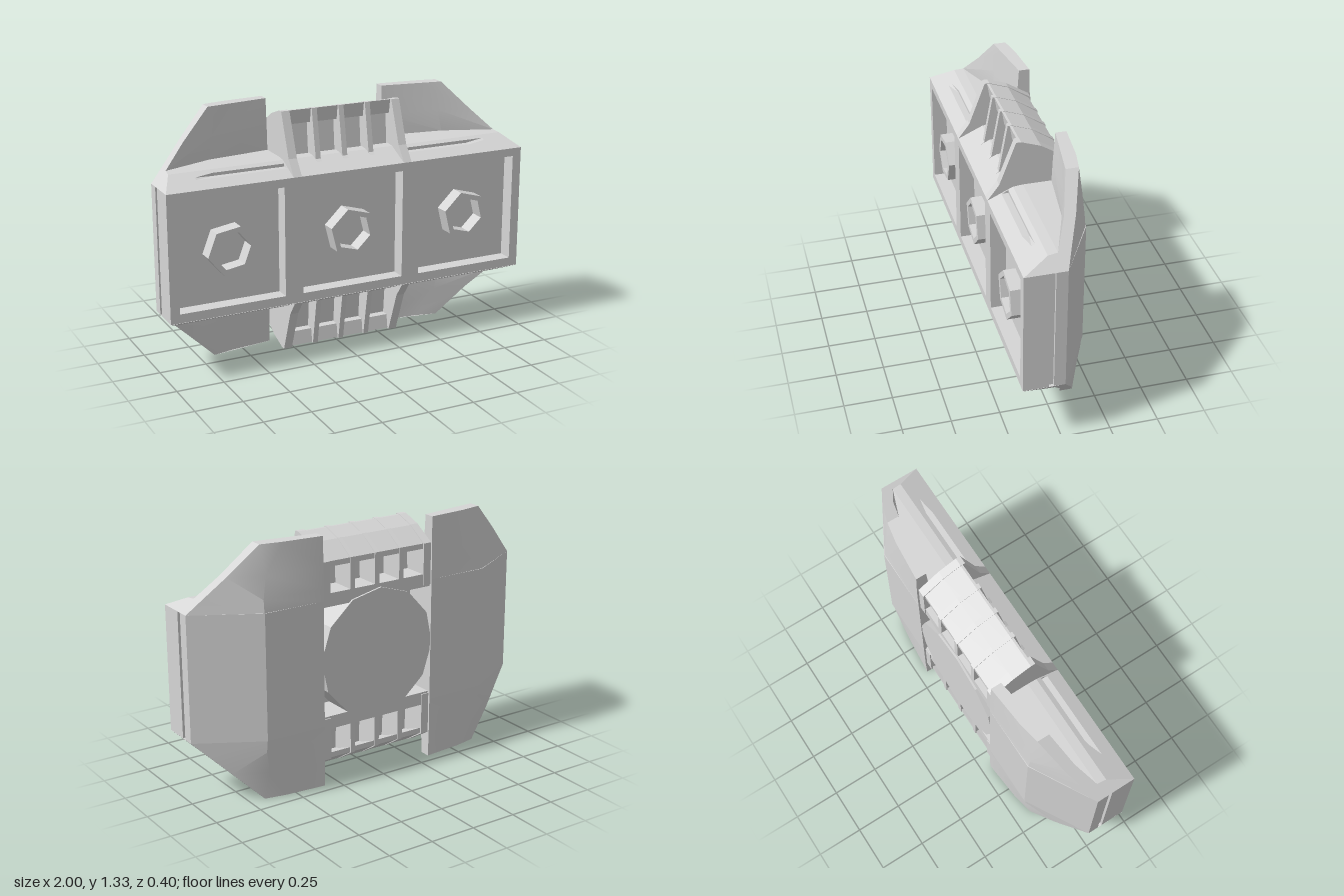
import * as THREE from 'three';
import { toCreasedNormals } from 'three/addons/utils/BufferGeometryUtils.js';

const MID = 0.6667; // height of the mirror plane between upper and lower halves

export function createModel() {
  const model = new THREE.Group();
  model.name = 'armorModule';
  const grey = new THREE.MeshStandardMaterial({ color: 0xd6d6d6 });
  grey.name = 'plain grey';

  const add = (name, geometry, parent = model) => {
    const mesh = new THREE.Mesh(geometry, grey);
    mesh.name = name;
    parent.add(mesh);
    return mesh;
  };
  const box = (name, x0, x1, y0, y1, z0, z1) =>
    add(name, new THREE.BoxGeometry(x1 - x0, y1 - y0, z1 - z0)
      .translate((x0 + x1) / 2, (y0 + y1) / 2, (z0 + z1) / 2));
  const flip = (y, s) => MID + s * (y - MID);
  const vec2 = (pts) => pts.map(([x, y]) => new THREE.Vector2(x, y));
  const extrude = (shape, depth) => new THREE.ExtrudeGeometry(shape, { depth, bevelEnabled: false });

  // Profile of [z, y] points swept along x, mirrored vertically when s = -1
  const prism = (name, profile, x0, x1, s, parent) => {
    const shape = new THREE.Shape(vec2(profile.map(([z, y]) => [-z, flip(y, s)])));
    return add(name, extrude(shape, x1 - x0).rotateY(Math.PI / 2).translate(x0, 0, 0), parent);
  };

  // Flat-shaded solid through matching cross-sections, always wound outwards
  const loft = (sections) => {
    const tris = [];
    const n = sections[0].length;
    for (let i = 0; i < sections.length - 1; i++) {
      const a = sections[i], b = sections[i + 1];
      for (let j = 0; j < n; j++) {
        const k = (j + 1) % n;
        tris.push([a[j], a[k], b[k]], [a[j], b[k], b[j]]);
      }
    }
    const first = sections[0], last = sections[sections.length - 1];
    for (let j = 1; j < n - 1; j++) {
      tris.push([first[0], first[j + 1], first[j]], [last[0], last[j], last[j + 1]]);
    }
    const v = (p) => new THREE.Vector3(...p);
    const volume = tris.reduce((sum, [a, b, c]) => sum + v(a).dot(v(b).cross(v(c))), 0);
    const ordered = volume < 0 ? tris.map(([a, b, c]) => [a, c, b]) : tris;
    const geometry = new THREE.BufferGeometry();
    geometry.setAttribute('position', new THREE.Float32BufferAttribute(ordered.flat(2), 3));
    geometry.computeVertexNormals();
    return geometry;
  };

  // Front frame with three rectangular recesses
  const rect = (x0, x1, y0, y1) => vec2([[x0, y0], [x1, y0], [x1, y1], [x0, y1]]);
  const frame = new THREE.Shape(rect(-1, 1, 0.335, 1));
  for (const x of [-0.667, 0, 0.667]) {
    frame.holes.push(new THREE.Path(rect(x - 0.284, x + 0.284, 0.382, 0.957).reverse()));
  }
  add('frontFrame', extrude(frame, 0.08).translate(0, 0, 0.12));

  // Body slabs with a narrow groove on both ends
  box('bodyFront', -1, 1, 0.335, 1, 0.07, 0.12);
  box('bodyGroove', -0.985, 0.985, 0.335, 1, 0.045, 0.07);
  box('bodyBack', -1, 1, 0.335, 1, -0.013, 0.045);

  // Hollow hexagonal nuts
  const hexagon = (r, degrees) => vec2([0, 1, 2, 3, 4, 5].map((i) => {
    const a = THREE.MathUtils.degToRad(degrees + i * 60);
    return [r * Math.cos(a), r * Math.sin(a)];
  }));
  [[-0.667, 9], [0, -16], [0.667, -16]].forEach(([x, turn]) => {
    const hex = new THREE.Shape(hexagon(0.13, turn));
    hex.holes.push(new THREE.Path(hexagon(0.1, turn).reverse()));
    add('hexNut', extrude(hex, 0.08).translate(x, MID, 0.12));
  });

  // Wing rows: height, then [x, z] of six corners around the shell
  const middleRow = [1, [1, 0.02], [0.67, 0.02], [0.333, 0.02], [0.333, -0.2], [0.67, -0.2], [1, -0.013]];
  const plateRows = [
    [1, [1, 0.02], [0.67, -0.08], [0.333, -0.125], [0.333, -0.2], [0.67, -0.196], [1, -0.013]],
    [1.065, [0.935, 0.02], [0.67, -0.08], [0.333, -0.125], [0.333, -0.2], [0.67, -0.19], [0.935, -0.043]],
    [1.18, [0.82, -0.04], [0.65, -0.09], [0.333, -0.13], [0.333, -0.2], [0.65, -0.181], [0.82, -0.098]],
    [1.333, [0.667, -0.09], [0.55, -0.115], [0.333, -0.14], [0.333, -0.196], [0.55, -0.177], [0.667, -0.155]],
  ];
  for (const side of [1, -1]) {
    const section = ([y, ...pts], s) => pts.map(([x, z]) => [side * x, flip(y, s), z]);
    const wing = new THREE.Group();
    wing.name = side > 0 ? 'leftWing' : 'rightWing';
    model.add(wing);
    add('wingMiddle', loft([section(middleRow, -1), section(middleRow, 1)]), wing);
    for (const s of [1, -1]) {
      add('wingPlate', toCreasedNormals(loft(plateRows.map((r) => section(r, s))), 0.45), wing);
    }
  }

  // Profiles of the ribbed centre blocks, as [z, y]
  const wallProfile = [[0.2, 1], [0.14, 1.08], [0.055, 1.305], [0.03, 1.305],
    [-0.07, 1.27], [-0.19, 1.195], [-0.19, 0.97], [-0.013, 0.97]];
  const ribProfile = [[0.13, 1.03], [0.098, 1.05], [0.052, 1.304], [0.03, 1.304],
    [-0.07, 1.269], [-0.185, 1.195], [-0.185, 0.99], [0, 0.99]];
  const roofProfile = [[0.042, 1.302], [0.03, 1.302], [-0.07, 1.267], [-0.18, 1.193],
    [-0.18, 1.165], [-0.07, 1.21], [0, 1.228], [0.03, 1.228]];
  const webProfile = [[-0.01, 1.24], [-0.04, 1.22], [-0.05, 1], [0.01, 1]];
  const barProfile = [[-0.01, 0.96], [-0.01, 1.03], [-0.185, 1.03], [-0.185, 0.96]];

  // Sloped edge stations from end to end: [x, notched], x = null for mitred ends
  const stations = [[0.82, 0], [0.72, 1], [0.34, 1], [0.339, 0]];
  const edgeSection = (xAt, notched, s) => [[1, 0.2], [1.0323, 0.13],
    notched ? [1.0323, 0.096] : [1.0402, 0.113],
    [1.048, 0.096], [1.06, 0.07], [1.065, 0.02], [1, -0.013],
  ].map(([y, z]) => [xAt(y), flip(y, s), z]);

  for (const s of [1, -1]) {
    const half = new THREE.Group();
    half.name = s > 0 ? 'upperHalf' : 'lowerHalf';
    model.add(half);

    // Sloped edge with a slender notch cut on each side
    add('slopedEdge', loft([
      edgeSection((y) => y - 2, 0, s),
      ...stations.map(([x, cut]) => edgeSection(() => -x, cut, s)),
      ...[...stations].reverse().map(([x, cut]) => edgeSection(() => x, cut, s)),
      edgeSection((y) => 2 - y, 0, s),
    ]), half);

    // Flat shelf running back to the wing
    const shelf = [[0.935, 0.02], [0.3, 0.02], [0.3, -0.13], [0.333, -0.15], [0.6, -0.115]];
    for (const e of [1, -1]) {
      add('shelf', loft([1, 1.065].map((y) =>
        shelf.map(([x, z]) => [e * x, flip(y, s), z]))), half);
    }

    // Ribbed centre block
    prism('sideWall', wallProfile, -0.333, -0.288, s, half);
    prism('sideWall', wallProfile, 0.288, 0.333, s, half);
    for (const x of [-0.15, 0, 0.15]) prism('rib', ribProfile, x - 0.014, x + 0.014, s, half);
    prism('roof', roofProfile, -0.289, 0.289, s, half);
    prism('web', webProfile, -0.289, 0.289, s, half);
    prism('backBar', barProfile, -0.333, 0.333, s, half);
  }

  // Twelve-sided disc between the wings
  const disc = [];
  for (let i = 0; i < 12; i++) {
    const a = THREE.MathUtils.degToRad(3 + i * 30);
    disc.push([0.345 * Math.cos(a), MID + 0.345 * Math.sin(a)]);
  }
  add('backDisc', extrude(new THREE.Shape(vec2(disc)), 0.18).translate(0, 0, -0.195));

  return model;
}
